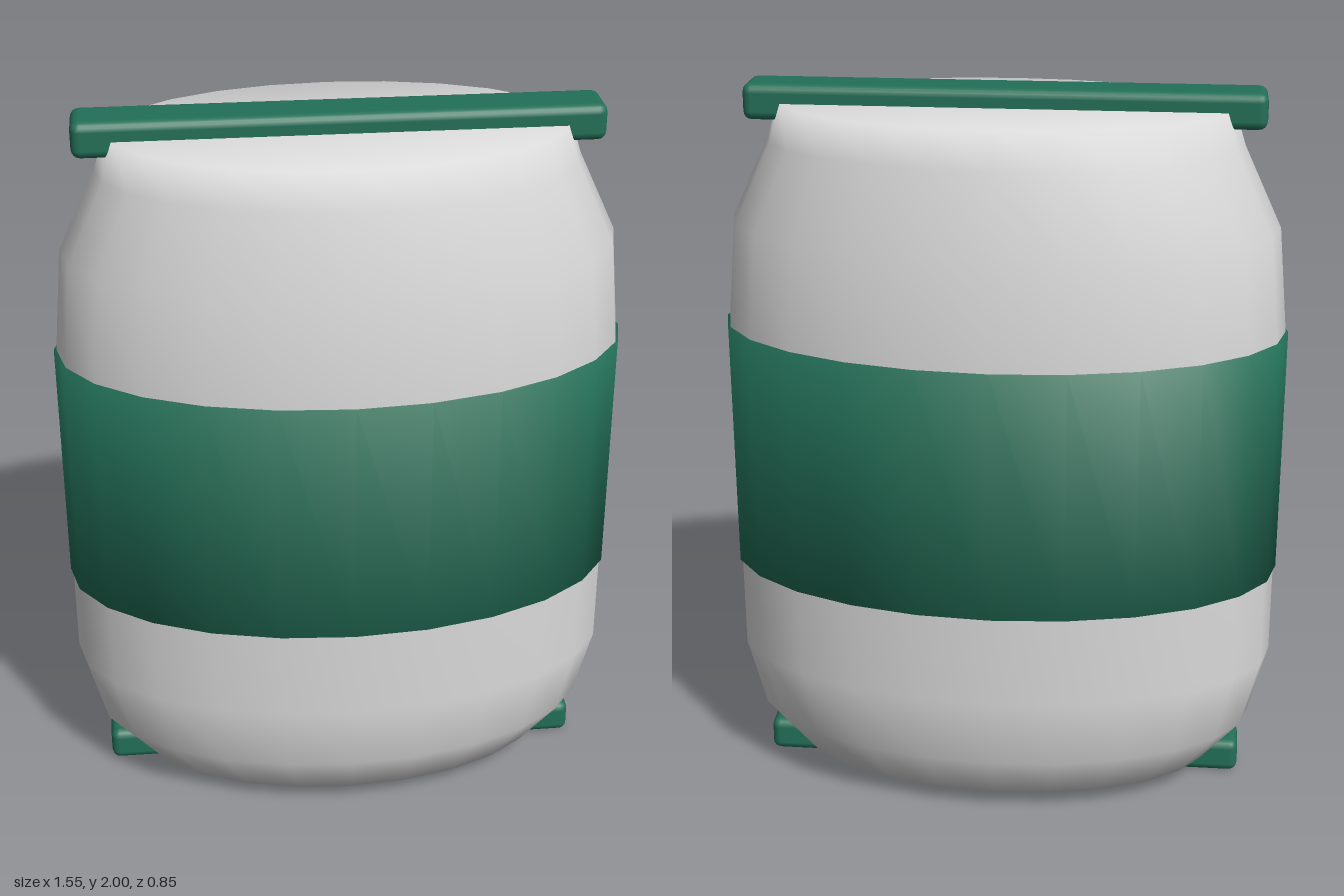
import * as THREE from 'three';
import { mergeVertices } from 'three/addons/utils/BufferGeometryUtils.js';
import { RoundedBoxGeometry } from 'three/addons/geometries/RoundedBoxGeometry.js';

const DEPTH_RATIO = 0.548; // oval cross-section: depth / width

// Closed oval lathe with normals shared across its rims.
function ovalLathe(profile) {
  const lathe = new THREE.LatheGeometry(profile.map(([r, y]) => new THREE.Vector2(r, y)), 24);
  lathe.scale(1, 1, DEPTH_RATIO);
  lathe.deleteAttribute('normal');
  lathe.deleteAttribute('uv');
  const geometry = mergeVertices(lathe, 1e-4);
  geometry.computeVertexNormals();
  return geometry;
}

export function createModel() {
  const model = new THREE.Group();
  model.name = 'ovalBarrel';
  const shellGrey = new THREE.MeshStandardMaterial({ name: 'light grey', color: 0xdcdcdc });
  const green = new THREE.MeshStandardMaterial({ name: 'deep green', color: 0x237058 });

  const add = (name, geometry, material, y = 0) => {
    const mesh = new THREE.Mesh(geometry, material);
    mesh.name = name;
    mesh.position.y = y;
    model.add(mesh);
  };

  // Rounded shell with flat ends
  add('body', ovalLathe([
    [0, 0.05], [0.6, 0.05], [0.715, 0.18], [0.767, 0.38],
    [0.767, 1.34], [0.74, 1.63], [0.637, 1.85], [0.605, 1.95], [0, 1.95],
  ]), shellGrey);

  // Wide band wrapped around the middle
  add('band', ovalLathe([[0, 0.64], [0.774, 0.64], [0.774, 1.34], [0, 1.34]]), green);

  // Bars across the two ends
  for (const [name, y] of [['bottomBar', 0.0485], ['topBar', 1.9515]]) {
    add(name, new RoundedBoxGeometry(1.38, 0.097, 0.145, 2, 0.024), green, y);
  }
  return model;
}
